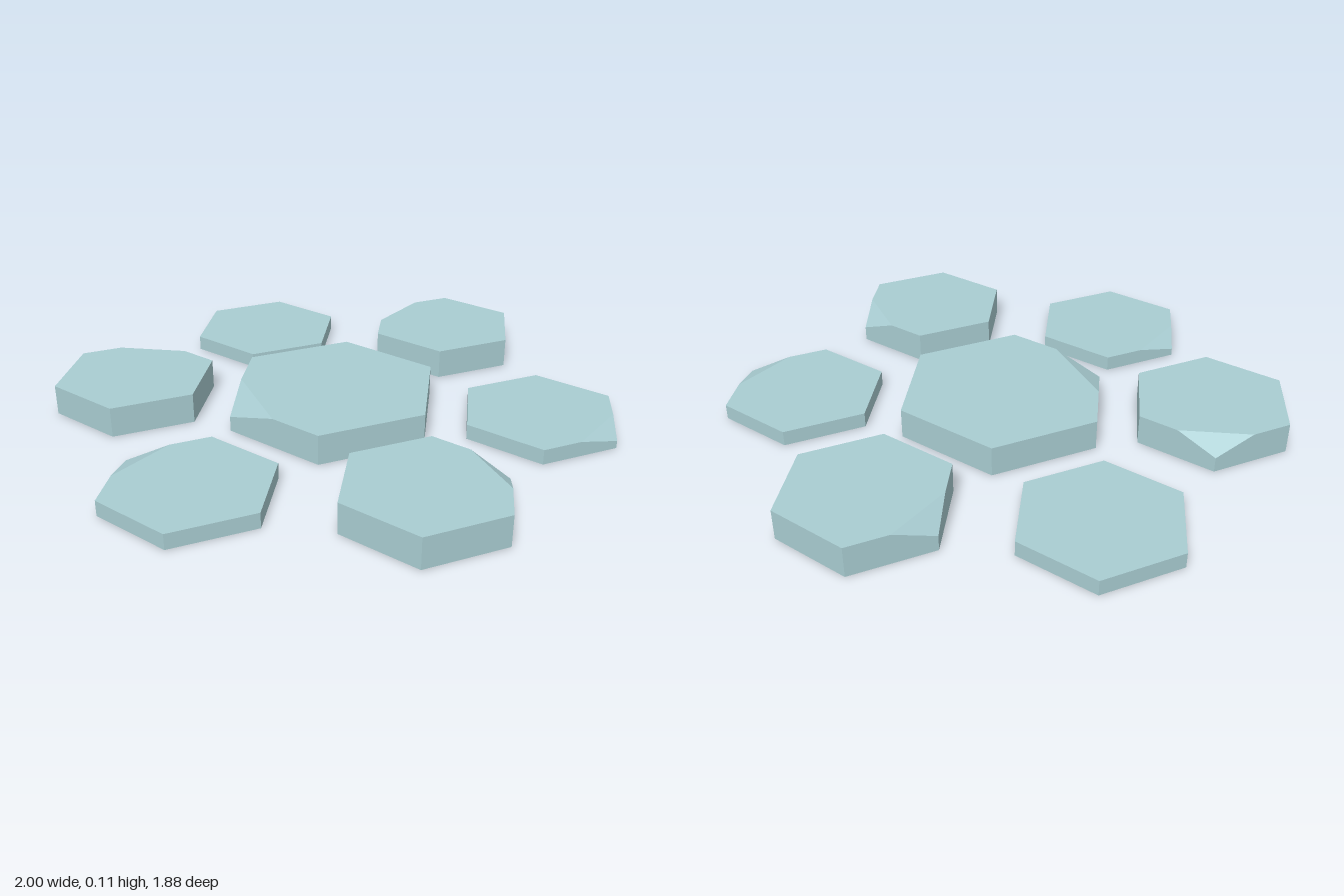
import * as THREE from 'three';
import { ConvexGeometry } from 'three/addons/geometries/ConvexGeometry.js';

const TALL = 0.11, LOW = 0.055;

// Corner k of a hexagon: 0 points to +z, then turns towards +x in 60 degree steps
function corner(k, radius, y) {
  const a = (k * Math.PI) / 3;
  return new THREE.Vector3(Math.sin(a) * radius, y, Math.cos(a) * radius);
}

// Hexagonal slab; the chipped corner is sliced from the middles of its two
// top edges down to half the height
function hexSlab(radius, height, chip) {
  const points = [];
  for (let k = 0; k < 6; k++) {
    points.push(corner(k, radius, 0));
    const top = corner(k, radius, height);
    if (k === chip) {
      points.push(
        top.clone().lerp(corner(k - 1, radius, height), 0.5),
        top.clone().lerp(corner(k + 1, radius, height), 0.5),
        corner(k, radius, height / 2)
      );
    } else {
      points.push(top);
    }
  }
  return new ConvexGeometry(points);
}

export function createModel() {
  const group = new THREE.Group();
  group.name = 'hexagonTiles';
  const stone = new THREE.MeshStandardMaterial({ color: 0xa9cdd2, flatShading: true });

  // name, x, z, radius, height, chipped corner (-1 = whole)
  const tiles = [
    ['centerTile', 0, 0, 0.396, TALL, 5],
    ['leftTile', 0.744, 0, 0.296, LOW, 1],
    ['rightTile', -0.744, 0, 0.296, TALL, 3],
    ['frontLeftTile', 0.372, 0.644, 0.296, TALL, 2],
    ['frontRightTile', -0.372, 0.644, 0.296, LOW, 4],
    ['backLeftTile', 0.372, -0.644, 0.296, TALL, 4],
    ['backRightTile', -0.372, -0.644, 0.296, LOW, -1],
  ];
  for (const [name, x, z, radius, height, chip] of tiles) {
    const tile = new THREE.Mesh(hexSlab(radius, height, chip), stone);
    tile.name = name;
    tile.position.set(x, 0, z);
    group.add(tile);
  }
  return group;
}
